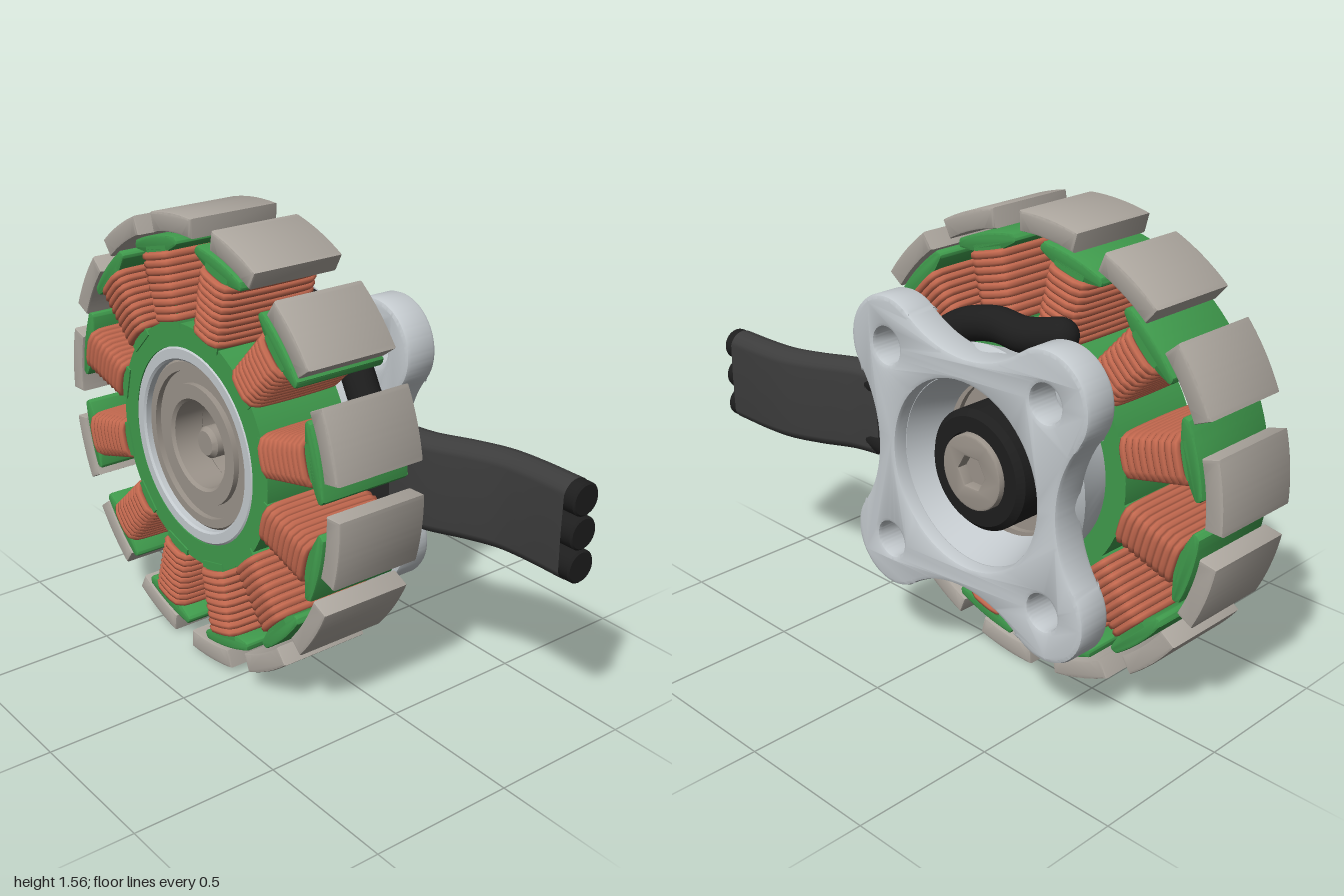
import * as THREE from 'three';
import { toCreasedNormals } from 'three/addons/utils/BufferGeometryUtils.js';

const mat = (color, side = THREE.FrontSide) => new THREE.MeshStandardMaterial({ color, side });
const MAGNET = mat(0xaca69e), GREEN = mat(0x3f9a4c), COPPER = mat(0xc4694f), ALLOY = mat(0xc4cace);
const STEEL = mat(0x9b938a), BLACK = mat(0x1e1e1e), SLEEVE = mat(0x3c3c3c, THREE.DoubleSide);
const V = (x, y, z) => new THREE.Vector3(x, y, z);
const rad = THREE.MathUtils.degToRad;

function add(parent, name, geometry, material) {
  const mesh = new THREE.Mesh(geometry, material);
  mesh.name = name;
  parent.add(mesh);
  return mesh;
}

// Closed ring section of [radius, z] pairs, counter-clockwise, spun round the z axis
function spin(points, segments = 64) {
  const pts = [...points, points[0]].map(([r, z]) => new THREE.Vector2(r, z));
  return toCreasedNormals(new THREE.LatheGeometry(pts, segments).rotateX(Math.PI / 2), 0.5);
}

// Extrusion between two z planes with a small edge bevel that keeps the outline
function slab(shape, z0, z1, bevel = 0.008, curveSegments = 16) {
  const g = new THREE.ExtrudeGeometry(shape, {
    depth: z1 - z0 - 2 * bevel, bevelEnabled: bevel > 0, bevelSize: bevel, bevelThickness: bevel,
    bevelOffset: -bevel, bevelSegments: 2, curveSegments,
  });
  return toCreasedNormals(g.translate(0, 0, z0 + bevel), 0.6);
}

function hole(shape, x, y, r) {
  const p = new THREE.Path();
  p.absarc(x, y, r, 0, Math.PI * 2, true);
  shape.holes.push(p);
}

function magnetShape() {
  const h = rad(8.8), s = new THREE.Shape();
  s.absarc(0, 0, 0.78, Math.PI / 2 - h, Math.PI / 2 + h, false);
  s.absarc(0, 0, 0.715, Math.PI / 2 + h, Math.PI / 2 - h, true);
  s.closePath();
  return s;
}

// Tooth tip: curved outer face, flat inner face, rounded ends
function shoeShape() {
  const h = rad(9.8), s = new THREE.Shape();
  s.absarc(0, 0, 0.705, Math.PI / 2 - h, Math.PI / 2 + h, false);
  s.quadraticCurveTo(-0.14, 0.668, -0.115, 0.662);
  s.lineTo(-0.07, 0.65);
  s.lineTo(0.07, 0.65);
  s.lineTo(0.115, 0.662);
  s.quadraticCurveTo(0.14, 0.668, 0.12, 0.6947);
  return s;
}

// One rounded rectangular turn of wire around a tooth
function turnGeometry(halfWidth) {
  const c = 0.03, zMid = 0.1275, hz = 0.179, pts = [];
  [[1, 1, 0], [-1, 1, 90], [-1, -1, 180], [1, -1, 270]].forEach(([sx, sz, a]) => {
    for (let i = 0; i <= 3; i++) {
      const t = rad(a + i * 30);
      pts.push(V(sx * (halfWidth - c) + c * Math.cos(t), 0, zMid + sz * (hz - c) + c * Math.sin(t)));
    }
  });
  const path = new THREE.CatmullRomCurve3(pts, true, 'centripetal');
  return new THREE.TubeGeometry(path, 40, 0.0138, 7, true);
}

// Four-lobed plate: lobe arcs joined by tangent concave arcs
function plateShape() {
  const s = new THREE.Shape();
  for (let i = 0; i < 4; i++) {
    const q = i * Math.PI / 2, c = Math.cos(q), n = Math.sin(q);
    s.absarc(0.34 * (c - n), 0.34 * (c + n), 0.165, q + rad(-37.4), q + rad(127.4), false);
    s.absarc(-0.785 * n, 0.785 * c, 0.395, q + rad(-52.6), q + rad(-127.4), true);
    hole(s, 0.34 * (c - n), 0.34 * (c + n), 0.06);
  }
  hole(s, 0, 0, 0.31);
  return s;
}

function bearing(parent, name, z0, z1) {
  const m = (z0 + z1) / 2, g = new THREE.Group();
  g.name = name;
  parent.add(g);
  add(g, 'outerRace', spin([[0.255, z0], [0.285, z0], [0.293, z0 + 0.008], [0.293, z1 - 0.008], [0.285, z1], [0.255, z1]]), STEEL);
  add(g, 'shield', spin([[0.2, m - 0.045], [0.26, m - 0.045], [0.26, m + 0.045], [0.2, m + 0.045]]), STEEL);
  add(g, 'innerRace', spin([[0.15, z0 + 0.01], [0.16, z0], [0.21, z0], [0.21, z1], [0.16, z1], [0.15, z1 - 0.01]]), STEEL);
}

function wire(parent, name, pts, r) {
  const path = new THREE.CatmullRomCurve3(pts, false, 'centripetal');
  add(parent, name, new THREE.TubeGeometry(path, 60, r, 16), BLACK);
  for (const p of [pts[0], pts[pts.length - 1]]) {
    add(parent, name + 'End', new THREE.SphereGeometry(r, 16, 10), BLACK).position.copy(p);
  }
}

export function createModel() {
  const model = new THREE.Group();
  model.name = 'motor';
  model.position.set(-0.22, 0.78, 0);

  // Ring of 14 magnets
  const magnetGeo = slab(magnetShape(), -0.04, 0.295);
  for (let i = 0; i < 14; i++) add(model, 'magnet', magnetGeo, MAGNET).rotation.z = rad(6.1 + i * 360 / 14);

  // Stator core with 12 wound teeth
  add(model, 'statorRing', spin([[0.34, -0.04], [0.42, -0.04], [0.42, 0.29], [0.34, 0.29]], 96), GREEN);
  const shoeGeo = slab(shoeShape(), -0.04, 0.295);
  const coreGeo = new THREE.BoxGeometry(0.12, 0.27, 0.335).translate(0, 0.535, 0.1275);
  const turns = Array.from({ length: 9 }, (_, k) => turnGeometry(0.061 + 0.001 * k));
  for (let i = 0; i < 12; i++) {
    const tooth = new THREE.Group();
    tooth.name = 'tooth';
    tooth.rotation.z = rad(15 + i * 30);
    model.add(tooth);
    add(tooth, 'toothCore', coreGeo, GREEN);
    add(tooth, 'toothTip', shoeGeo, GREEN);
    turns.forEach((g, k) => { add(tooth, 'coilTurn', g, COPPER).position.y = 0.437 + k * 0.0252; });
  }

  // Mount: flared tube and four-hole plate
  add(model, 'mountTube', spin([
    [0.293, -0.1], [0.26, -0.12], [0.308, -0.27], [0.38, -0.27], [0.4, -0.2], [0.34, -0.05],
    [0.34, 0.285], [0.333, 0.292], [0.3, 0.292], [0.293, 0.285]]), ALLOY);
  add(model, 'mountPlate', slab(plateShape(), -0.32, -0.2, 0.015, 32), ALLOY);

  // Bearings, spacer and shaft
  bearing(model, 'frontBearing', 0.14, 0.27);
  bearing(model, 'rearBearing', -0.1, 0.03);
  add(model, 'spacer', spin([[0.155, 0.02], [0.2, 0.02], [0.2, 0.15], [0.155, 0.15]]), STEEL);
  add(model, 'shaft', spin([[0, -0.2], [0.055, -0.2], [0.055, 0.225], [0.042, 0.24], [0, 0.24]], 32), STEEL);

  // Rear washer and socket screw
  add(model, 'washer', spin([[0, -0.24], [0.13, -0.24], [0.13, -0.265], [0.18, -0.265], [0.2, -0.245], [0.2, -0.1], [0, -0.1]]), BLACK);
  const head = new THREE.Shape();
  head.absarc(0, 0, 0.125, 0, Math.PI * 2, false);
  head.holes.push(new THREE.Path(Array.from({ length: 6 }, (_, i) =>
    new THREE.Vector2(0.058 * Math.cos(-i * Math.PI / 3), 0.058 * Math.sin(-i * Math.PI / 3)))));
  add(model, 'screwHead', slab(head, -0.28, -0.22, 0.006, 32), STEEL);
  add(model, 'screwSocketFloor', new THREE.CylinderGeometry(0.07, 0.07, 0.01, 24).rotateX(Math.PI / 2), STEEL).position.z = -0.238;

  // Lead wires: two run round the mount, one leaves straight
  for (const side of [1, -1]) {
    const pts = [V(-0.19, side * 0.45, -0.09)];
    for (let a = 100; a >= 25; a -= 15) pts.push(V(0.44 * Math.cos(rad(a)), side * 0.44 * Math.sin(rad(a)), -0.125));
    pts.push(V(0.46, side * 0.13, -0.13), V(0.6, side * 0.1, -0.137));
    wire(model, side > 0 ? 'upperLead' : 'lowerLead', pts, 0.057);
  }
  wire(model, 'middleLead', [V(0.42, 0, -0.07), V(0.47, 0, -0.12), V(0.6, 0, -0.137)], 0.05);

  // Flat sleeve: a tube pulled apart in y to a rounded slot section
  const sleevePath = new THREE.CatmullRomCurve3([V(0.56, 0, -0.13), V(0.68, 0, -0.155),
    V(0.8, 0, -0.212), V(0.91, 0, -0.252), V(1.02, 0, -0.264), V(1.18, 0, -0.265)]);
  const sleeveGeo = new THREE.TubeGeometry(sleevePath, 48, 0.056, 24);
  const pos = sleeveGeo.attributes.position;
  for (let i = 0; i < pos.count; i++) {
    const y = pos.getY(i);
    pos.setY(i, y + THREE.MathUtils.clamp(y * 10, -0.11, 0.11));
  }
  sleeveGeo.computeVertexNormals();
  add(model, 'cableSleeve', sleeveGeo, SLEEVE);

  // Cable ends emerging from the sleeve
  const endGeo = spin([[0, 0], [0.054, 0], [0.054, 0.094], [0.048, 0.1], [0, 0.1]], 24).rotateY(Math.PI / 2);
  for (const y of [-0.11, 0, 0.11]) add(model, 'cableEnd', endGeo, BLACK).position.set(1.12, y, -0.265);

  const root = new THREE.Group();
  root.add(model);
  return root;
}
